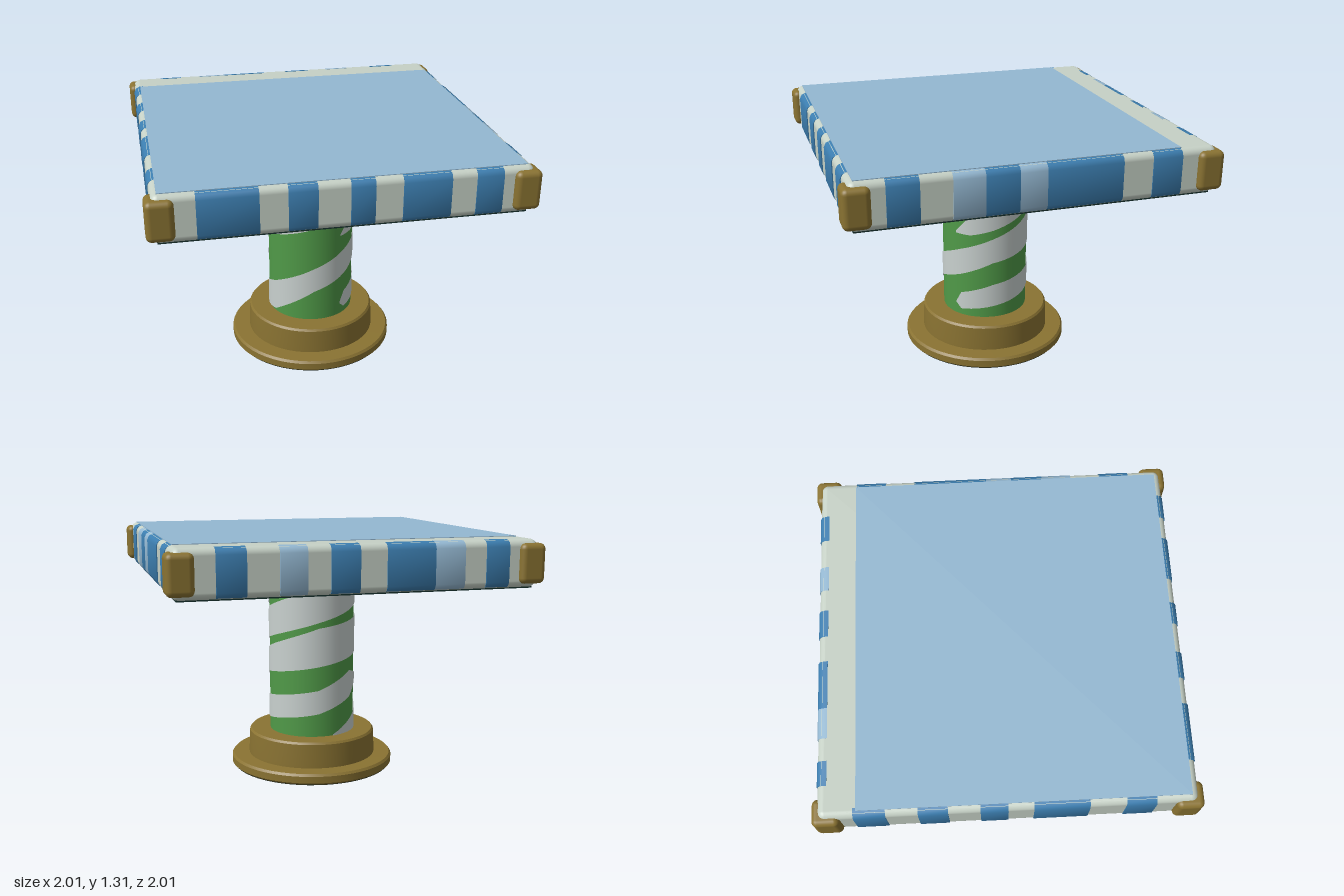
import * as THREE from 'three';
import { RoundedBoxGeometry } from 'three/addons/geometries/RoundedBoxGeometry.js';
import { toCreasedNormals } from 'three/addons/utils/BufferGeometryUtils.js';

const mat = (name, color) => {
  const m = new THREE.MeshStandardMaterial({ color });
  m.name = name;
  return m;
};

export function createModel() {
  const gold = mat('gold', 0x8a7332);
  const cream = mat('cream', 0xc6d1c6);
  const blue = mat('blue', 0x3c7eb0);
  const paleBlue = mat('paleBlue', 0x94b8d2);
  const green = mat('green', 0x509a48);
  const white = mat('white', 0xc9d1cf);
  white.side = THREE.DoubleSide;
  const darkTeal = mat('darkTeal', 0x16302c);
  const darkOlive = mat('darkOlive', 0x1e271c);

  const model = new THREE.Group();
  const add = (parent, name, geometry, material, x = 0, y = 0, z = 0) => {
    const mesh = new THREE.Mesh(geometry, material);
    mesh.name = name;
    mesh.position.set(x, y, z);
    parent.add(mesh);
    return mesh;
  };

  // Stepped round base with softened edges
  const baseProfile = [
    [0, 0.003], [0.435, 0.003], [0.448, 0.014], [0.448, 0.05], [0.438, 0.062], [0.352, 0.064],
    [0.352, 0.08], [0.347, 0.192], [0.338, 0.203], [0, 0.203],
  ].map(([r, y]) => new THREE.Vector2(r, y));
  add(model, 'base', toCreasedNormals(new THREE.LatheGeometry(baseProfile, 56), 0.6), gold);
  add(model, 'baseUnderside', new THREE.CylinderGeometry(0.435, 0.435, 0.004, 56), darkOlive, 0, 0.002, 0);

  // Column
  add(model, 'column', new THREE.CylinderGeometry(0.232, 0.232, 0.9, 48, 1, true), green, 0, 0.64, 0);

  // Spiral stripes: [angle from the front in degrees, lower height, upper height]
  const spirals = [
    [[200, 0.2, 0.21], [235, 0.2, 0.28], [270, 0.2, 0.35], [300, 0.22, 0.4], [360, 0.38, 0.52],
      [405, 0.45, 0.6], [450, 0.53, 0.67], [540, 0.59, 0.8], [630, 0.65, 0.85], [720, 0.76, 0.9],
      [765, 0.84, 0.97], [810, 0.93, 1.04], [860, 1.02, 1.08], [890, 1.08, 1.08]],
    [[38, 0.69, 0.7], [60, 0.69, 0.8], [90, 0.72, 0.89], [180, 0.83, 1.02], [270, 0.93, 1.05],
      [310, 0.98, 1.08], [350, 1.06, 1.08]],
    [[38, 0.27, 0.28], [46, 0.24, 0.34], [90, 0.27, 0.4], [180, 0.33, 0.46], [230, 0.4, 0.55], [262, 0.5, 0.51]],
  ];
  const stripeGeometry = (keys) => {
    const pos = [], norm = [], index = [];
    const push = (deg, lo, hi) => {
      const a = THREE.MathUtils.degToRad(deg), s = Math.sin(a), c = Math.cos(a);
      for (const y of [lo, hi]) {
        pos.push(0.237 * s, y, 0.237 * c);
        norm.push(s, 0, c);
      }
    };
    for (let k = 0; k < keys.length - 1; k++) {
      const [a, b] = [keys[k], keys[k + 1]];
      const steps = Math.ceil((b[0] - a[0]) / 7.5);
      for (let i = 0; i < steps; i++) push(...a.map((v, j) => v + (b[j] - v) * i / steps));
    }
    push(...keys[keys.length - 1]);
    for (let i = 0; i < pos.length / 3 - 2; i += 2) index.push(i, i + 2, i + 1, i + 1, i + 2, i + 3);
    const g = new THREE.BufferGeometry();
    g.setAttribute('position', new THREE.Float32BufferAttribute(pos, 3));
    g.setAttribute('normal', new THREE.Float32BufferAttribute(norm, 3));
    g.setIndex(index);
    return g;
  };
  spirals.forEach((keys) => add(model, 'spiralStripe', stripeGeometry(keys), white));

  // Square top, turned slightly on the column
  const top = new THREE.Group();
  top.name = 'tableTop';
  top.rotation.y = 0.106;
  model.add(top);
  add(top, 'slab', new RoundedBoxGeometry(1.77, 0.234, 1.77, 4, 0.035), cream, 0, 1.189, 0);
  add(top, 'topPanel', new THREE.BoxGeometry(1.71, 0.006, 1.56), paleBlue, 0, 1.306, 0.075);
  add(top, 'underside', new THREE.BoxGeometry(1.73, 0.008, 1.73), darkTeal, 0, 1.073, 0);

  // Painted edge stripes wrap around the rounded rim
  const rim = new THREE.Shape([
    [0.84, 1.071], [0.86, 1.073], [0.88, 1.084], [0.89, 1.104], [0.89, 1.274],
    [0.88, 1.295], [0.86, 1.305], [0.84, 1.307],
  ].map(([x, y]) => new THREE.Vector2(x, y)));
  // Each side: turn, direction of the listed axis, then [from, to, material]
  const sides = [
    ['front', -Math.PI / 2, -1, [[-0.69, -0.41, blue], [-0.28, -0.145, blue], [0.006, 0.12, blue],
      [0.25, 0.48, blue], [0.6, 0.73, blue]]],
    ['left', 0, 1, [[0.567, 0.718, blue], [0.266, 0.417, paleBlue], [0.105, 0.266, blue],
      [-0.026, 0.105, paleBlue], [-0.4, -0.026, blue], [-0.7, -0.55, blue]]],
    ['back', Math.PI / 2, 1, [[0.55, 0.69, blue], [0.27, 0.4, paleBlue], [0.02, 0.16, blue],
      [-0.35, -0.11, blue], [-0.5, -0.35, paleBlue], [-0.73, -0.61, blue]]],
    ['right', Math.PI, -1, [[-0.72, -0.57, blue], [-0.42, -0.28, blue], [-0.13, 0, blue],
      [0.12, 0.38, blue], [0.55, 0.69, blue]]],
  ];
  for (const [name, turn, dir, stripes] of sides) {
    const side = new THREE.Group();
    side.name = name + 'Edge';
    side.rotation.y = turn;
    top.add(side);
    for (const [from, to, material] of stripes) {
      const g = new THREE.ExtrudeGeometry(rim, { depth: to - from, bevelEnabled: false });
      add(side, 'edgeStripe', toCreasedNormals(g, 0.7), material, 0, 0, dir > 0 ? from : -to);
    }
  }

  // Corner caps
  for (const x of [-1, 1]) {
    for (const z of [-1, 1]) {
      add(top, 'cornerCap', new RoundedBoxGeometry(0.13, 0.195, 0.13, 3, 0.028), gold, x * 0.849, 1.19, z * 0.849);
    }
  }
  return model;
}
